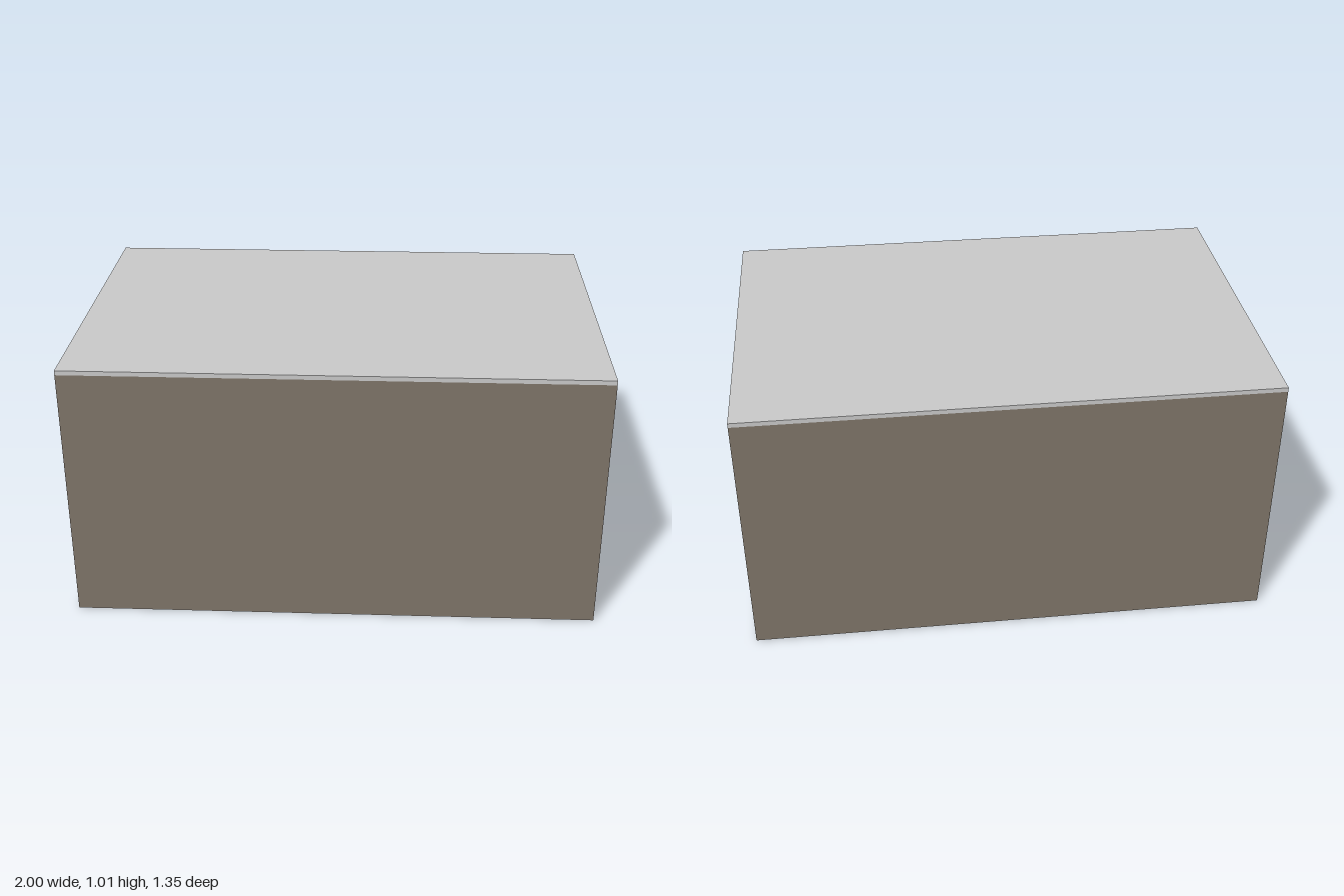
import * as THREE from 'three';

const wallMat = new THREE.MeshStandardMaterial({ color: 0x7e7468 });
wallMat.name = 'brown wall';
const concreteMat = new THREE.MeshStandardMaterial({ color: 0xc8c8c8 });
concreteMat.name = 'light grey';

// Half length, half depth, wall thickness and main heights
const HX = 0.995, HZ = 0.667, T = 0.03;
const BASE = 0.003, SLAB = 0.018, EAVES = 0.995, TOP = 1.012;

// Box given by its minimum and maximum corners
function box(name, material, [x0, y0, z0], [x1, y1, z1]) {
  const mesh = new THREE.Mesh(new THREE.BoxGeometry(x1 - x0, y1 - y0, z1 - z0), material);
  mesh.position.set((x0 + x1) / 2, (y0 + y1) / 2, (z0 + z1) / 2);
  mesh.name = name;
  return mesh;
}

// End wall with an opening from the ground up, between z0 and z1
function endWall(name, xMin, z0, z1, height) {
  const e = HZ - T;
  const shape = new THREE.Shape([
    [-e, BASE], [-z1, BASE], [-z1, height], [-z0, height],
    [-z0, BASE], [e, BASE], [e, EAVES], [-e, EAVES],
  ].map(([x, y]) => new THREE.Vector2(x, y)));
  const geometry = new THREE.ExtrudeGeometry(shape, { depth: T, bevelEnabled: false });
  geometry.rotateY(Math.PI / 2); // shape x becomes -z, depth becomes +x
  const mesh = new THREE.Mesh(geometry, wallMat);
  mesh.position.x = xMin;
  mesh.name = name;
  return mesh;
}

export function createModel() {
  const model = new THREE.Group();
  model.name = 'garage';

  const building = new THREE.Group();
  building.name = 'building';
  building.rotation.y = -0.0075;
  model.add(building);

  // Floor slab and flat roof
  building.add(
    box('floorSlab', concreteMat, [-HX + 0.001, 0, -HZ + 0.001], [HX - 0.001, SLAB, HZ - 0.001]),
    box('roof', concreteMat, [-HX, EAVES, -HZ], [HX, TOP, HZ]),
  );

  // Long walls
  building.add(
    box('frontWall', wallMat, [-HX, BASE, HZ - T], [HX, EAVES, HZ]),
    box('backWall', wallMat, [-HX, BASE, -HZ], [HX, EAVES, -HZ + T]),
  );

  // End walls: wide garage opening and narrow doorway
  building.add(
    endWall('garageEndWall', HX - T, -0.5, 0.5, 0.83),
    endWall('doorwayEndWall', -HX, 0, 0.345, 0.67),
  );

  // Recessed surround with the garage door standing out from it
  const x = HX - T;
  building.add(
    box('doorSurround', wallMat, [x - 0.012, SLAB, -0.52], [x, 0.85, 0.52]),
    box('garageDoorCore', wallMat, [x, SLAB, -0.415], [HX - 0.003, 0.745, 0.415]),
    box('garageDoorFace', concreteMat, [HX - 0.003, BASE, -0.415], [HX, 0.742, 0.415]),
  );

  return model;
}
